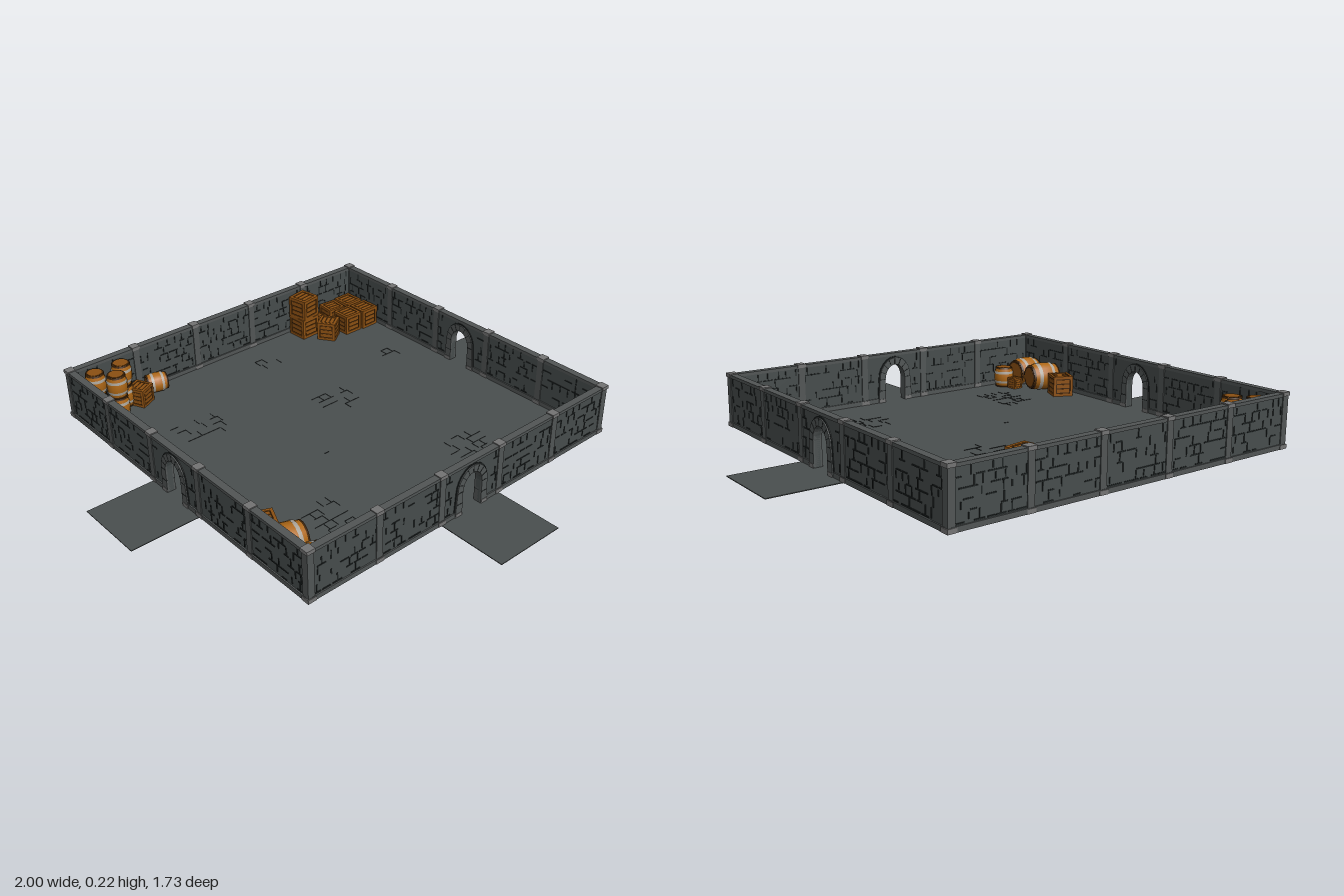
import * as THREE from 'three';
import { mergeGeometries } from 'three/addons/utils/BufferGeometryUtils.js';

const mat = (name, color) => Object.assign(new THREE.MeshStandardMaterial({ color }), { name });
const M = {
  floor: mat('floorStone', 0x4a4f4f),
  wall: mat('wallStone', 0x474d4d),
  trim: mat('trimStone', 0x525656),
  cap: mat('capStone', 0x747474),
  joint: mat('darkJoint', 0x202525),
  crate: mat('crateWood', 0x8c5012),
  barrel: mat('barrelWood', 0xad6716),
  dark: mat('darkWood', 0x3f2408),
  band: mat('barrelBand', 0xaaa49a),
};

const FLOOR = 0.01, TOP = 0.215, PITCH = 0.286, HALF = PITCH * 2.5, CZ = -0.137;

let seed = 7;
const rnd = () => (seed = (seed * 16807) % 2147483647) / 2147483647;

const box = (w, h, d, x = 0, y = 0, z = 0) => new THREE.BoxGeometry(w, h, d).translate(x, y, z);

function add(parent, name, material, ...geos) {
  const mesh = new THREE.Mesh(geos.length > 1 ? mergeGeometries(geos) : geos[0], material);
  mesh.name = name;
  parent.add(mesh);
  return mesh;
}

// Points of an arch outline, from its right foot over the top to its left foot
function archPoints(foot, w, spring, top) {
  const pts = [[foot, FLOOR]];
  for (let i = 0; i <= 12; i++) {
    const a = (i / 12) * Math.PI;
    pts.push([w * Math.cos(a), spring + (top - spring) * Math.sin(a)]);
  }
  pts.push([-foot, FLOOR]);
  return pts.map(([x, y]) => new THREE.Vector2(x, y));
}

function extrude(points, depth) {
  return new THREE.ExtrudeGeometry(new THREE.Shape(points), { depth, bevelEnabled: false })
    .translate(0, 0, -depth / 2);
}

// Broken masonry joints on both faces of a wall panel
function jointStrips(door) {
  const strips = [], rows = 5, rowH = 0.034, y0 = 0.033;
  for (const side of [-1, 1]) {
    for (let r = 0; r <= rows; r++) {
      for (let c = 0; c < 7; c++) {
        const x = -0.115 + c * 0.038 + (r % 2) * 0.012 + (rnd() - 0.5) * 0.012;
        const y = y0 + r * rowH;
        if (door && Math.abs(x) < 0.098) continue;
        if (rnd() < 0.55) strips.push(box(0.022 + rnd() * 0.018, 0.0045, 0.003, x, y, side * 0.0105));
        if (r < rows && rnd() < 0.55)
          strips.push(box(0.0045, rowH * (0.6 + rnd() * 0.4), 0.003, x, y + rowH / 2, side * 0.0105));
      }
    }
  }
  return strips;
}

// One wall panel, running along x
function makePanel(door) {
  const g = new THREE.Group();
  g.name = door ? 'doorPanel' : 'wallPanel';
  const h = PITCH / 2;
  add(g, 'topRail', M.trim, box(PITCH, 0.012, 0.028, 0, TOP - 0.008, 0));
  add(g, 'wallJoints', M.joint, ...jointStrips(door));
  if (!door) {
    add(g, 'wallSlab', M.wall, box(PITCH, TOP - 0.012 - FLOOR, 0.02, 0, (TOP - 0.012 + FLOOR) / 2, 0));
    add(g, 'plinth', M.trim, box(PITCH, 0.018, 0.03, 0, FLOOR + 0.009, 0));
    return g;
  }
  // Wall around the doorway, then the raised arch surround
  const opening = archPoints(0.047, 0.047, 0.105, 0.165);
  const v = (x, y) => new THREE.Vector2(x, y);
  const wall = [...opening, v(-h, FLOOR), v(-h, TOP - 0.012), v(h, TOP - 0.012), v(h, FLOOR)];
  add(g, 'doorWall', M.wall, extrude(wall, 0.02));
  const outer = archPoints(0.08, 0.073, 0.108, 0.193);
  add(g, 'archSurround', M.trim, extrude([...opening, ...outer.reverse()], 0.034));
  const side = h - 0.08;
  add(g, 'plinth', M.trim, ...[-1, 1].map(s => box(side, 0.018, 0.03, s * (0.08 + side / 2), FLOOR + 0.009, 0)));
  // Dark outline and stone joints of the arch
  const line = archPoints(0.084, 0.077, 0.108, 0.198);
  add(g, 'archOutline', M.joint, extrude([...archPoints(0.079, 0.072, 0.108, 0.192), ...line.reverse()], 0.025));
  const cuts = [];
  for (let i = 0; i <= 8; i++) {
    const a = (i / 8) * Math.PI;
    cuts.push(box(0.026, 0.003, 0.0355).rotateZ(a)
      .translate(0.06 * Math.cos(a), 0.107 + 0.071 * Math.sin(a), 0));
  }
  for (const s of [-1, 1]) cuts.push(box(0.028, 0.003, 0.0355, s * 0.061, 0.06, 0));
  add(g, 'archJoints', M.joint, ...cuts);
  add(g, 'archFeet', M.cap, ...[-1, 1].map(s => box(0.03, 0.014, 0.037, s * 0.064, FLOOR + 0.007, 0)));
  return g;
}

function makePillar() {
  const g = new THREE.Group();
  g.name = 'pillar';
  add(g, 'pillarShaft', M.trim, box(0.027, TOP - FLOOR, 0.027, 0, (TOP + FLOOR) / 2, 0));
  add(g, 'pillarCaps', M.cap, box(0.034, 0.014, 0.034, 0, TOP - 0.005, 0), box(0.034, 0.016, 0.034, 0, FLOOR + 0.008, 0));
  return g;
}

// Barrel standing on its origin
function makeBarrel(r, h) {
  const g = new THREE.Group();
  g.name = 'barrel';
  const rad = t => r * (1 - 0.2 * (2 * t - 1) ** 2);
  const ring = (a, b, off) => {
    const pts = [];
    for (let i = 0; i <= 4; i++) {
      const t = a + (b - a) * i / 4;
      pts.push(new THREE.Vector2(rad(t) + off, t * h));
    }
    return new THREE.LatheGeometry(pts, 16);
  };
  add(g, 'barrelStaves', M.barrel, ring(0, 1, 0));
  add(g, 'barrelBands', M.band, ring(0.2, 0.32, 0.0015), ring(0.68, 0.8, 0.0015));
  add(g, 'barrelRims', M.dark, ring(0, 0.07, 0.002), ring(0.93, 1, 0.002),
    new THREE.CylinderGeometry(rad(0) + 0.002, rad(0) + 0.002, h - 0.002, 16).translate(0, h / 2, 0));
  add(g, 'barrelLids', M.crate, new THREE.CylinderGeometry(rad(0) * 0.85, rad(0) * 0.85, h + 0.001, 16).translate(0, h / 2, 0));
  return g;
}

// Crate standing on its origin, with dark seams between frame and planks
function makeCrate(s) {
  const g = new THREE.Group();
  g.name = 'crate';
  const e = s * 0.13, k = (s - e) / 2, frame = [], planks = [];
  for (const a of [-k, k]) for (const b of [-k, k]) {
    frame.push(box(s, e, e, 0, a, b), box(e, s, e, a, 0, b), box(e, e, s, a, b, 0));
  }
  for (const i of [-1, 0, 1]) {
    const o = i * s * 0.23, w = s * 0.17, l = s * 0.64, d = s * 0.97;
    planks.push(box(l, w, d, 0, o, 0), box(d, w, l, 0, o, 0), box(l, d, w, 0, 0, o));
  }
  add(g, 'crateSeams', M.dark, box(s * 0.93, s * 0.93, s * 0.93, 0, s / 2, 0));
  add(g, 'crateFrame', M.crate, ...[...frame, ...planks].map(b => b.translate(0, s / 2, 0)));
  return g;
}

export function createModel() {
  const root = new THREE.Group();
  root.name = 'dungeonRoom';

  // Floor and the three doorstep tiles
  const plate = (name, w, d, x, z) => add(root, name, M.floor, box(w, 0.003, d, x, FLOOR - 0.0015, z));
  plate('floor', HALF * 2, HALF * 2, 0, CZ);
  const t = HALF + PITCH / 2;
  plate('rightDoorstep', PITCH, PITCH, -t, CZ);
  plate('leftDoorstep', PITCH, PITCH, t, CZ);
  plate('frontDoorstep', PITCH, PITCH, 0, CZ + t);

  // Floor cracks: centre x, z, columns, rows
  const cracks = [];
  for (const [cx, cz, nx, nz] of [[-0.41, -0.46, 5, 4], [-0.41, 0.3, 4, 6], [0.28, 0.3, 5, 4],
    [0.12, -0.27, 4, 4], [0.08, -0.7, 3, 2], [0.53, -0.4, 2, 3], [-0.15, 0, 1, 1]]) {
    for (let i = 0; i < nx; i++) for (let j = 0; j < nz; j++) {
      const x = cx + (i - (nx - 1) / 2) * 0.037 + (j % 2) * 0.01;
      const z = cz + (j - (nz - 1) / 2) * 0.037;
      if (rnd() < 0.55) cracks.push(box(0.037, 0.0115, 0.0015, x, 0.00575, z));
      if (rnd() < 0.5) cracks.push(box(0.0015, 0.0115, 0.037, x + 0.018, 0.00575, z + 0.018));
    }
  }
  cracks.push(box(0.02, 0.0115, 0.002, -0.15, 0.00575, 0));
  add(root, 'floorCracks', M.joint, ...cracks);

  // Four walls of five panels; doors in the front, left and right walls
  ['frontWall', 'leftWall', 'backWall', 'rightWall'].forEach((name, side) => {
    const wall = new THREE.Group();
    wall.name = name;
    for (let i = 0; i < 5; i++) {
      const panel = makePanel(i === 2 && side !== 2);
      panel.position.set((i - 2) * PITCH, 0, HALF);
      const pillar = makePillar();
      pillar.position.set((i - 2.5) * PITCH, 0, HALF);
      wall.add(panel, pillar);
    }
    wall.position.z = CZ;
    wall.rotation.y = side * Math.PI / 2;
    root.add(wall);
  });

  const put = (obj, x, y, z, ry = 0) => {
    obj.position.set(x, FLOOR + y, z);
    obj.rotation.y = ry;
    root.add(obj);
  };
  const lying = (r, h, x, z, ry) => {
    const g = new THREE.Group(), b = makeBarrel(r, h);
    g.name = 'lyingBarrel';
    b.rotation.z = Math.PI / 2;
    b.position.set(h / 2, r, 0);
    g.add(b);
    put(g, x, 0, z, ry);
  };

  // Back right-hand corner: stacked and lying barrels, one crate
  for (const [x, z] of [[-0.64, -0.8], [-0.525, -0.8], [-0.585, -0.735]])
    for (const level of [0, 1]) put(makeBarrel(0.041, 0.094), x, level * 0.094, z, x * 9);
  lying(0.041, 0.085, -0.652, -0.7, 0.35);
  lying(0.041, 0.085, -0.375, -0.8, -0.3);
  put(makeCrate(0.075), -0.47, 0, -0.77, 0.45);

  // Back left-hand corner: crates, size, x, z, turn, stack height
  for (const [s, x, z, ry, n] of [[0.09, 0.39, -0.787, 0.05, 2], [0.055, 0.478, -0.79, 0.1, 1],
    [0.08, 0.555, -0.79, -0.08, 1], [0.085, 0.645, -0.785, 0.04, 1], [0.08, 0.45, -0.692, 0.6, 1],
    [0.085, 0.56, -0.69, 0, 1], [0.085, 0.652, -0.685, 0.03, 1]])
    for (let i = 0; i < n; i++) put(makeCrate(s), x, i * s, z, ry + i * 0.12);

  // Front right-hand corner: large lying barrels, an upright one and crates
  lying(0.06, 0.125, -0.628, 0.36, -0.2);
  lying(0.06, 0.115, -0.64, 0.495, 0.05);
  put(makeBarrel(0.042, 0.085), -0.54, 0, 0.52);
  put(makeCrate(0.085), -0.632, 0, 0.243, -0.4);
  put(makeCrate(0.045), -0.552, 0, 0.456, 0.1);

  return root;
}
